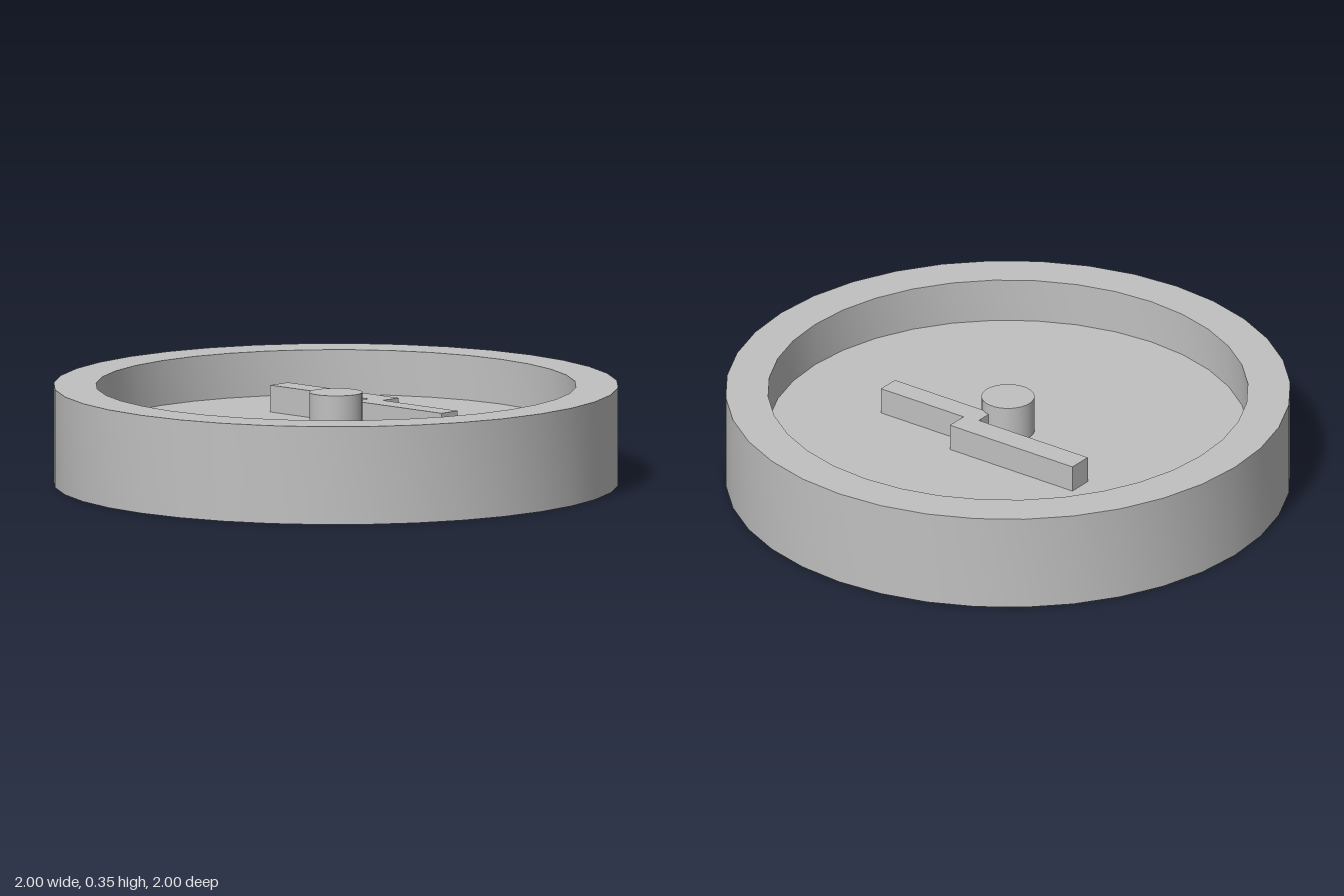
import * as THREE from 'three';
import { toCreasedNormals } from 'three/addons/utils/BufferGeometryUtils.js';

const RIM = 0.35, FLOOR = 0.19, SEGMENTS = 36;

export function createModel() {
  const group = new THREE.Group();
  group.name = 'roundTray';

  const grey = new THREE.MeshStandardMaterial({ color: 0xc0c0c0 });
  grey.name = 'light grey';

  const add = (name, geometry) => {
    const mesh = new THREE.Mesh(geometry, grey);
    mesh.name = name;
    group.add(mesh);
    return mesh;
  };

  // Round dish: base, outer wall, rim, inner wall and sunken floor
  const profile = [[0, 0], [1, 0], [1, RIM], [0.85, RIM], [0.85, FLOOR], [0, FLOOR]]
    .map(([x, y]) => new THREE.Vector2(x, y));
  add('dish', toCreasedNormals(new THREE.LatheGeometry(profile, SEGMENTS), Math.PI / 6));

  // Centre peg standing on the floor
  const pegHeight = 0.135;
  add('centrePeg', new THREE.CylinderGeometry(0.094, 0.094, pegHeight, SEGMENTS))
    .position.y = FLOOR + pegHeight / 2;

  // Stepped bar behind the peg, outlined in x and z
  const outline = [
    [-0.463, -0.15], [0.017, -0.15], [0.017, -0.077], [0.441, -0.077],
    [0.441, -0.16], [0.077, -0.16], [0.077, -0.241], [-0.463, -0.241],
  ].map(([x, z]) => new THREE.Vector2(x, -z));
  const bar = new THREE.ExtrudeGeometry(new THREE.Shape(outline), { depth: 0.096, bevelEnabled: false });
  bar.rotateX(-Math.PI / 2);
  add('steppedBar', bar).position.y = FLOOR;

  return group;
}
